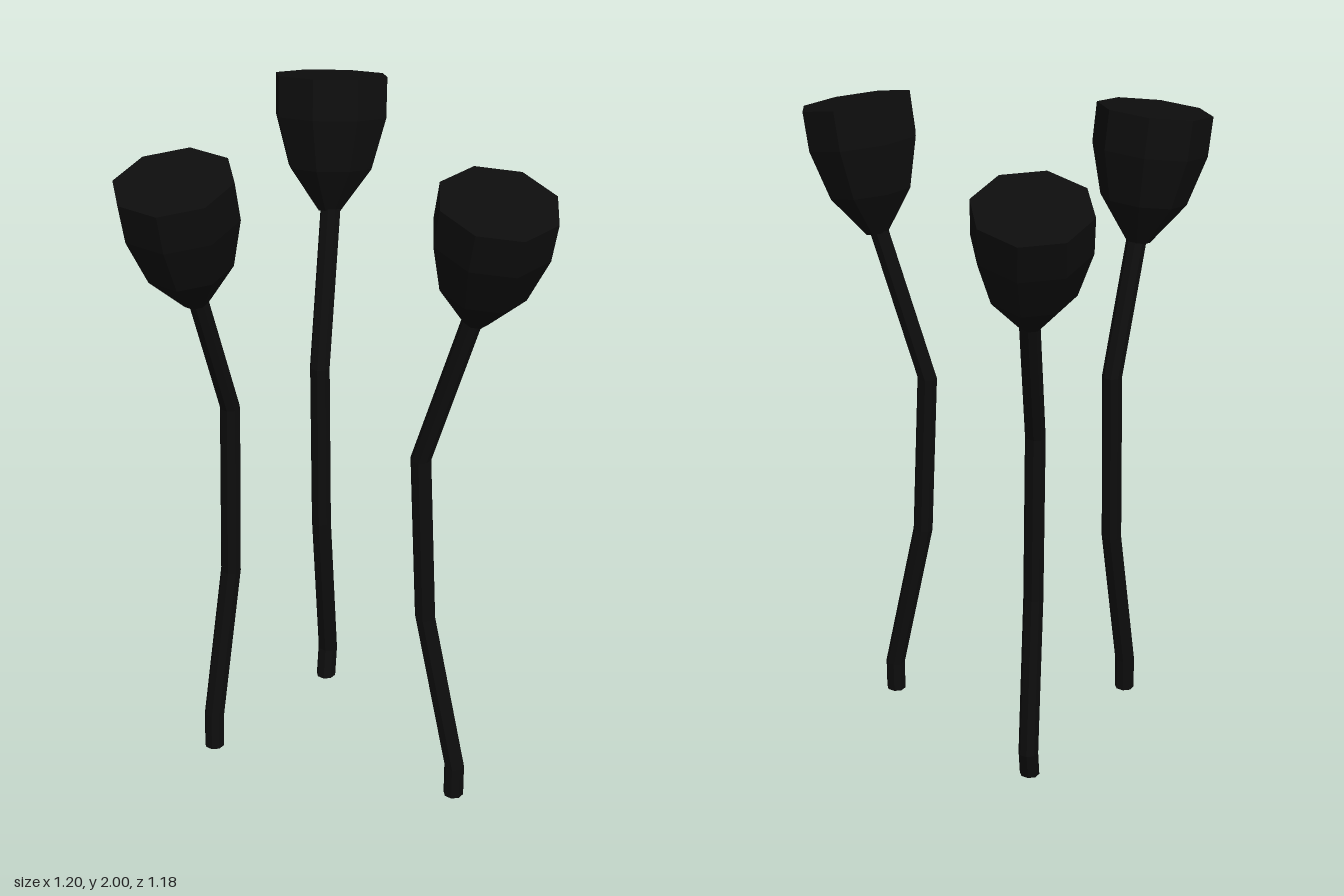
import * as THREE from 'three';

const material = new THREE.MeshStandardMaterial({ color: 0x0d0d0d, flatShading: true });
const STEM_RADIUS = 0.03;

// Stem: a capped tube whose level rings are shifted onto the path points
function makeStem(path) {
  const segments = path.length - 1;
  const geometry = new THREE.CylinderGeometry(STEM_RADIUS, STEM_RADIUS, 1, 8, segments);
  const position = geometry.attributes.position;
  for (let i = 0; i < position.count; i++) {
    const [x, y, z] = path[Math.round((position.getY(i) + 0.5) * segments)];
    position.setXYZ(i, position.getX(i) + x, y, position.getZ(i) + z);
  }
  geometry.computeVertexNormals();
  const stem = new THREE.Mesh(geometry, material);
  stem.name = 'stem';
  return stem;
}

// Head: an eight-sided cup with a flat lid, leaning from its base to its top
function makeHead(base, top, twist) {
  const from = new THREE.Vector3(...base);
  const axis = new THREE.Vector3(...top).sub(from);
  const height = axis.length();
  const profile = [[0, 0], [0.035, 0], [0.127, 0.32], [0.169, 0.7], [0.17, 1], [0, 1]]
    .map(([r, t]) => new THREE.Vector2(r, t * height));
  const geometry = new THREE.LatheGeometry(profile, 8);
  geometry.rotateY(twist);
  const head = new THREE.Mesh(geometry, material);
  head.name = 'flowerHead';
  head.position.copy(from);
  head.quaternion.setFromUnitVectors(new THREE.Vector3(0, 1, 0), axis.normalize());
  return head;
}

// Each path runs from the cut end of the stem up into the head
const flowers = [
  {
    name: 'rightFlower',
    path: [[-0.4, 0.07, 0.335], [-0.4, 0.18, 0.325], [-0.36, 0.65, 0.245], [-0.352, 1.19, 0.232], [-0.4, 1.6, 0.352]],
    base: [-0.402, 1.575, 0.35], top: [-0.432, 1.96, 0.415], twist: 0.03,
  },
  {
    name: 'backFlower',
    path: [[-0.185, 0.03, -0.16], [-0.185, 0.12, -0.185], [-0.185, 0.62, -0.125], [-0.188, 1.15, -0.137], [-0.2, 1.6, -0.32]],
    base: [-0.205, 1.575, -0.32], top: [-0.226, 1.953, -0.432], twist: -0.05,
  },
  {
    name: 'leftFlower',
    path: [[0.335, 0, 0.303], [0.335, 0.1, 0.298], [0.235, 0.6, 0.275], [0.215, 1.12, 0.265], [0.362, 1.6, 0.268]],
    base: [0.363, 1.575, 0.27], top: [0.432, 1.957, 0.328], twist: -0.15,
  },
];

export function createModel() {
  const model = new THREE.Group();
  model.name = 'flowers';
  for (const { name, path, base, top, twist } of flowers) {
    const flower = new THREE.Group();
    flower.name = name;
    flower.add(makeStem(path), makeHead(base, top, twist));
    model.add(flower);
  }
  return model;
}
